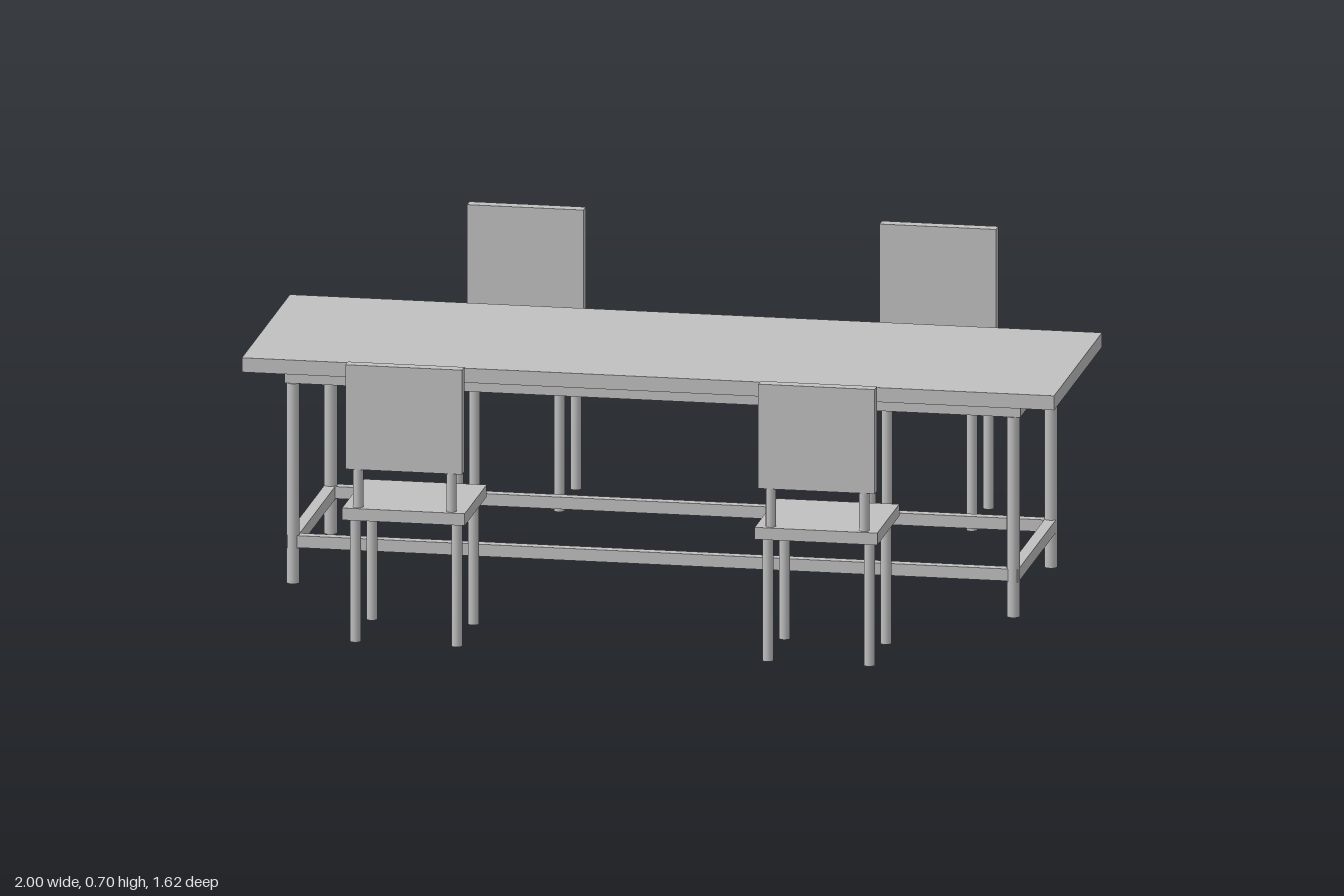
import * as THREE from 'three';

const grey = new THREE.MeshStandardMaterial({ color: 0xc0c0c0 });
grey.name = 'plain grey';

// Box given by its size, centre x and z, and bottom height
function box(parent, name, w, h, d, x, bottom, z) {
  const mesh = new THREE.Mesh(new THREE.BoxGeometry(w, h, d), grey);
  mesh.name = name;
  mesh.position.set(x, bottom + h / 2, z);
  parent.add(mesh);
}

// Upright round rod between two heights
function rod(parent, name, r, bottom, top, x, z) {
  const mesh = new THREE.Mesh(new THREE.CylinderGeometry(r, r, top - bottom, 12), grey);
  mesh.name = name;
  mesh.position.set(x, (bottom + top) / 2, z);
  parent.add(mesh);
}

function createTable() {
  const table = new THREE.Group();
  table.name = 'table';
  box(table, 'tableTop', 2, 0.036, 0.626, 0, 0.537, 0);
  box(table, 'apron', 1.812, 0.037, 0.512, 0, 0.5, 0);
  for (const s of [-1, 1]) {
    for (const t of [-1, 1]) rod(table, 'tableLeg', 0.0165, 0, 0.5, s * 0.887, t * 0.245);
    box(table, 'longStretcher', 1.75, 0.03, 0.026, 0, 0.09, s * 0.243);
    box(table, 'endStretcher', 0.028, 0.032, 0.512, s * 0.887, 0.088, 0);
  }
  return table;
}

// Chair with its backrest towards +z, measured from the table centre line
function createChair() {
  const chair = new THREE.Group();
  chair.name = 'chair';
  box(chair, 'seat', 0.302, 0.03, 0.287, 0, 0.31, 0.669);
  for (const s of [-1, 1]) {
    rod(chair, 'innerLeg', 0.0135, 0, 0.31, s * 0.125, 0.56);
    rod(chair, 'outerLeg', 0.0135, 0, 0.31, s * 0.125, 0.777);
    rod(chair, 'backPost', 0.0125, 0.34, 0.44, s * 0.115, 0.793);
  }
  box(chair, 'backPanel', 0.287, 0.24, 0.029, 0, 0.436, 0.792);
  box(chair, 'topRail', 0.287, 0.021, 0.031, 0, 0.676, 0.792);
  return chair;
}

export function createModel() {
  const model = new THREE.Group();
  model.name = 'diningSet';
  model.add(createTable());
  // Two chairs on each long side, facing the table
  for (const x of [-0.508, 0.508]) {
    for (const turn of [0, Math.PI]) {
      const chair = createChair();
      chair.position.x = x;
      chair.rotation.y = turn;
      model.add(chair);
    }
  }
  return model;
}
